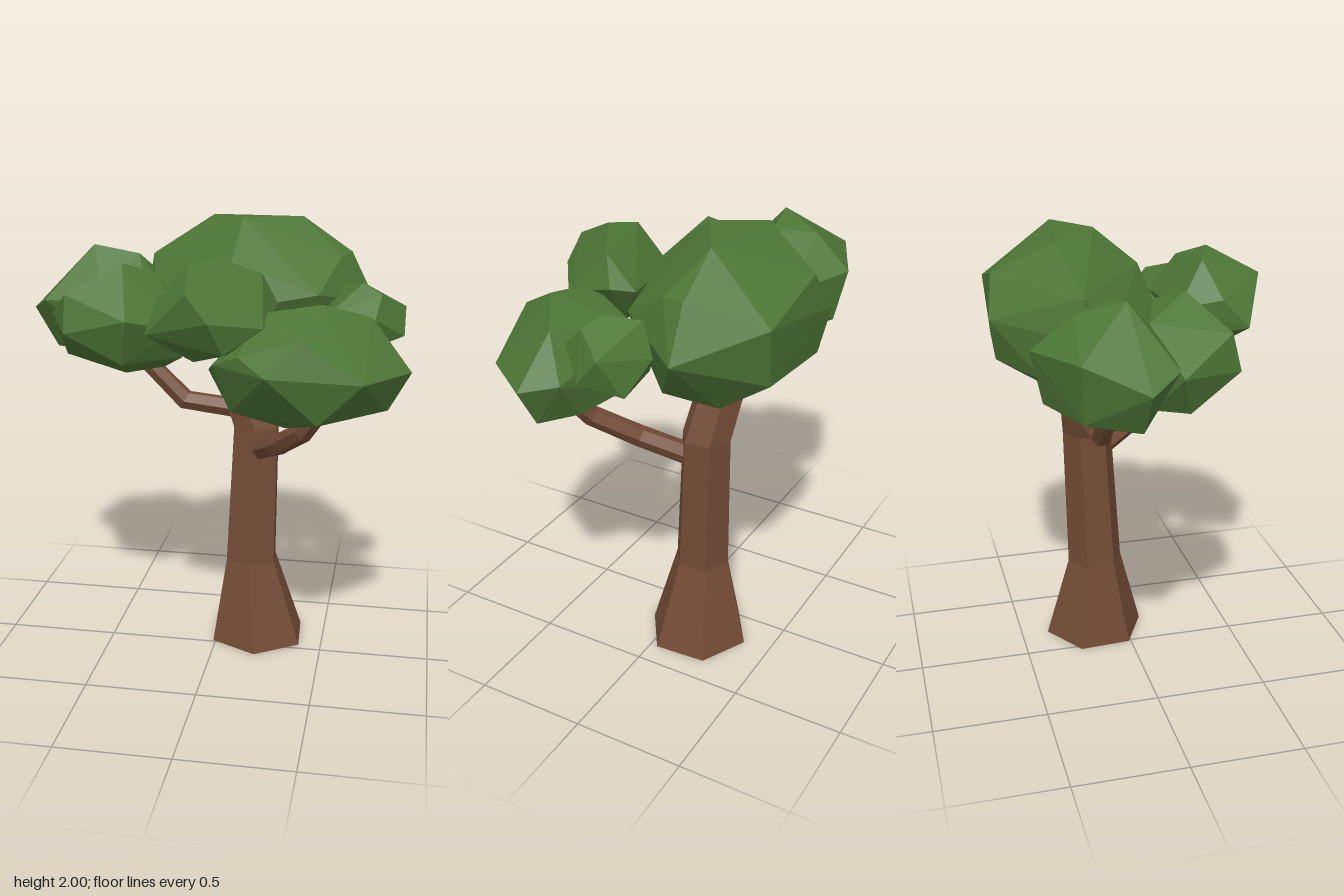
import * as THREE from 'three';
import { ConvexGeometry } from 'three/addons/geometries/ConvexGeometry.js';

const V = (p) => new THREE.Vector3(p[0], p[1], p[2]);

// Open six-sided limb through stations [x, y, z, radius]; tilted rings follow the path
function limb(stations, tilt) {
  const last = stations.length - 1;
  const geo = new THREE.CylinderGeometry(1, 1, 1, 6, last, true, 0.06);
  const up = new THREE.Vector3(0, 1, 0);
  const pos = geo.attributes.position;
  const v = new THREE.Vector3();
  for (let i = 0; i < pos.count; i++) {
    v.fromBufferAttribute(pos, i);
    const k = Math.round((v.y + 0.5) * last);
    v.y = 0;
    v.multiplyScalar(stations[k][3]);
    if (tilt) {
      const dir = V(stations[Math.min(k + 1, last)]).sub(V(stations[Math.max(k - 1, 0)])).normalize();
      v.applyQuaternion(new THREE.Quaternion().setFromUnitVectors(up, dir));
    }
    v.add(V(stations[k]));
    pos.setXYZ(i, v.x, v.y, v.z);
  }
  const flat = geo.toNonIndexed();
  flat.computeVertexNormals();
  return flat;
}

// Faceted leaf clump: hull around a few corners
const clump = (corners) => new ConvexGeometry(corners.map(V));

export function createModel() {
  const tree = new THREE.Group();
  tree.name = 'tree';
  const bark = new THREE.MeshStandardMaterial({ color: 0x734c35, side: THREE.DoubleSide });
  bark.name = 'bark brown';
  const leaf = new THREE.MeshStandardMaterial({ color: 0x4d7636 });
  leaf.name = 'leaf green';
  const add = (name, geo, mat) => {
    const mesh = new THREE.Mesh(geo, mat);
    mesh.name = name;
    tree.add(mesh);
  };

  // Flared trunk that bends back near the top
  add('trunk', limb([
    [0.185, 0, -0.14, 0.235], [0.15, 0.4, -0.14, 0.128], [0.165, 1.05, -0.165, 0.114],
    [0.1, 1.23, -0.19, 0.11], [0.06, 1.45, -0.29, 0.105],
  ], false), bark);

  // Side branches
  add('leftBranch', limb([
    [0.19, 0.95, -0.1, 0.05], [0.29, 1.04, 0.1, 0.048], [0.42, 1.16, 0.26, 0.045], [0.51, 1.3, 0.33, 0.042],
  ], true), bark);
  add('rightBranch', limb([
    [0.1, 1.12, -0.17, 0.047], [-0.17, 1.15, -0.17, 0.047], [-0.42, 1.4, -0.17, 0.04],
  ], true), bark);

  // Leaf clumps: crown first, then the smaller ones around it
  add('crownLeaves', clump([
    [-0.06, 1.985, -0.33], [0.1, 2, -0.14], [0.35, 1.99, -0.28], [0.57, 1.84, -0.28],
    [-0.33, 1.81, -0.27], [0.43, 1.74, -0.58], [0.06, 1.84, -0.59], [-0.06, 1.67, -0.62],
    [0.38, 1.48, -0.56], [0, 1.48, -0.59], [0.68, 1.62, -0.28], [0.53, 1.83, -0.17],
    [0.45, 1.7, 0.04], [0.08, 1.84, 0.05], [-0.02, 1.62, 0.13], [-0.13, 1.62, 0.04],
    [-0.3, 1.68, -0.13], [-0.36, 1.64, -0.29], [-0.14, 1.42, -0.02], [0.46, 1.38, -0.12],
    [0.4, 1.34, -0.35], [0.02, 1.32, -0.35], [0.1, 1.36, -0.08], [-0.22, 1.44, -0.42],
  ]), leaf);
  add('rightBackLeaves', clump([
    [-0.86, 1.57, -0.13], [-0.77, 1.68, -0.38], [-0.72, 1.43, -0.36], [-0.47, 1.66, -0.52],
    [-0.45, 1.43, -0.47], [-0.22, 1.62, -0.37], [-0.22, 1.5, -0.24], [-0.23, 1.62, -0.15],
    [-0.3, 1.6, -0.05], [-0.77, 1.63, 0], [-0.76, 1.39, -0.14], [-0.58, 1.86, -0.16],
    [-0.38, 1.82, -0.19], [-0.52, 1.33, -0.26], [-0.36, 1.34, -0.28], [-0.45, 1.4, 0],
    [-0.5, 1.64, 0.03], [-0.5, 1.8, -0.35],
  ]), leaf);
  add('rightFrontLeaves', clump([
    [-0.73, 1.58, 0.03], [-0.65, 1.41, 0.08], [-0.6, 1.71, 0.26], [-0.6, 1.55, 0.3],
    [-0.32, 1.62, 0.34], [-0.36, 1.42, 0.27], [-0.12, 1.56, 0.18], [-0.13, 1.42, 0.1],
    [-0.12, 1.6, 0.04], [-0.38, 1.83, 0.13], [-0.25, 1.77, 0.03], [-0.5, 1.74, -0.05],
    [-0.3, 1.62, -0.1], [-0.38, 1.34, 0.1], [-0.22, 1.36, 0.04], [-0.55, 1.4, -0.05],
  ]), leaf);
  add('frontLeaves', clump([
    [-0.21, 1.6, 0.47], [-0.18, 1.72, 0.36], [-0.12, 1.68, 0.18], [-0.06, 1.87, 0.3],
    [0.08, 1.9, 0.36], [0.24, 1.83, 0.27], [0.23, 1.68, 0.14], [0.3, 1.7, 0.22],
    [0.27, 1.64, 0.45], [0.07, 1.68, 0.59], [-0.02, 1.79, 0.57], [0.12, 1.54, 0.52],
    [-0.02, 1.48, 0.4], [0.16, 1.5, 0.25], [-0.1, 1.54, 0.2],
  ]), leaf);
  add('leftFrontLeaves', clump([
    [0.02, 1.42, 0.28], [0.06, 1.48, 0.44], [0.18, 1.54, 0.53], [0.3, 1.48, 0.62],
    [0.24, 1.68, 0.35], [0.5, 1.73, 0.37], [0.69, 1.66, 0.25], [0.42, 1.62, 0.56],
    [0.68, 1.45, 0.54], [0.86, 1.45, 0.3], [0.78, 1.48, 0.15], [0.77, 1.28, 0.28],
    [0.36, 1.6, 0.07], [0.2, 1.46, 0.13], [0.4, 1.33, 0.07], [0.35, 1.19, 0.31],
    [0.13, 1.27, 0.38], [0.5, 1.27, 0.52], [0.65, 1.3, 0.15],
  ]), leaf);
  add('leftSmallLeaves', clump([
    [0.64, 1.76, 0.03], [0.56, 1.73, -0.1], [0.6, 1.6, -0.165], [0.82, 1.65, -0.05],
    [0.82, 1.54, 0.04], [0.7, 1.63, 0.17], [0.5, 1.64, 0.15], [0.45, 1.6, 0.04],
    [0.68, 1.5, 0.14], [0.62, 1.45, 0.01], [0.74, 1.48, -0.12], [0.52, 1.5, -0.1],
    [0.72, 1.72, 0.08],
  ]), leaf);

  return tree;
}
